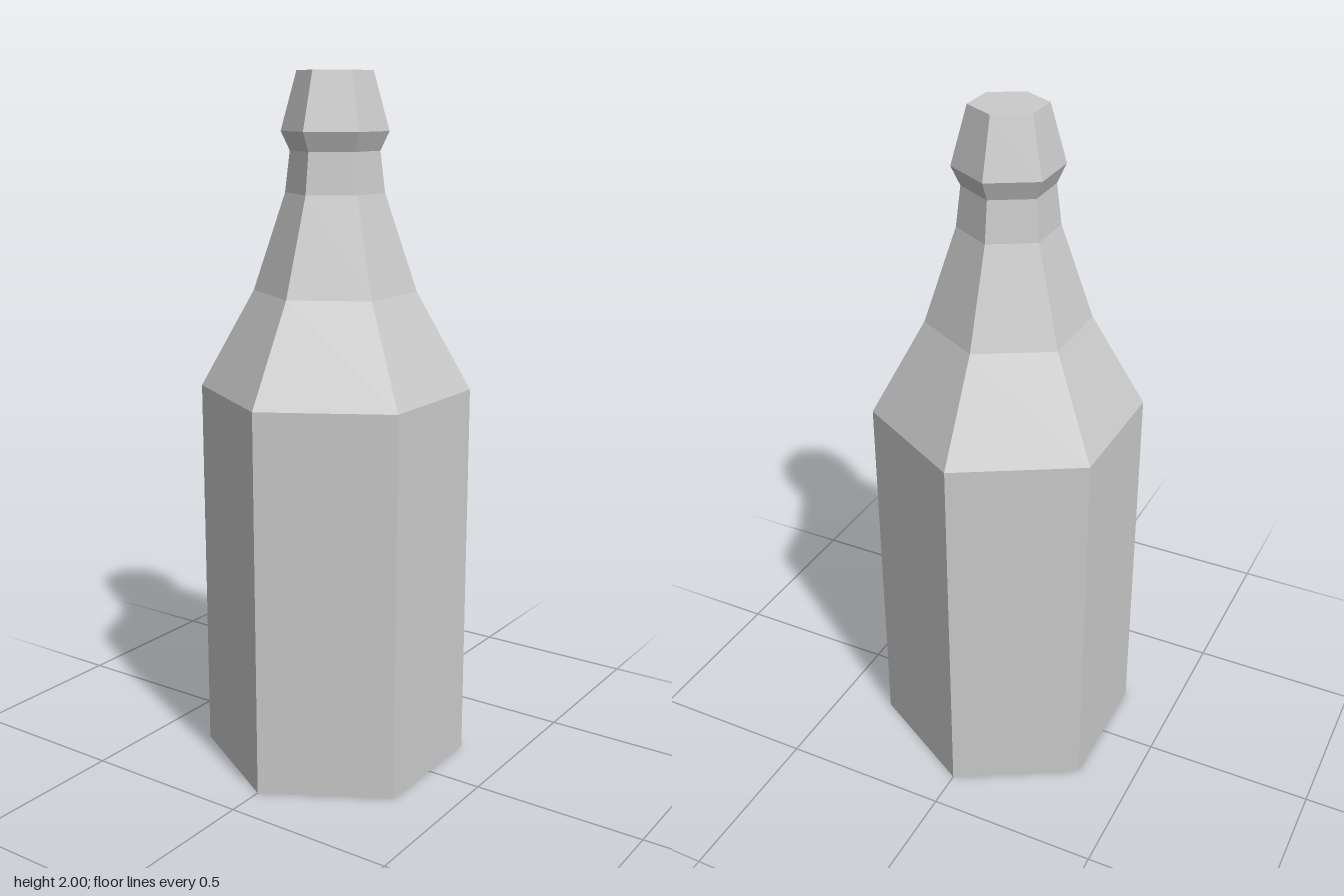
import * as THREE from 'three';

const SIDES = 6;

// Six-sided turned part from [radius, height] pairs, listed bottom to top
function turned(name, profile, material) {
  const points = profile.map(([r, y]) => new THREE.Vector2(r, y));
  const mesh = new THREE.Mesh(new THREE.LatheGeometry(points, SIDES), material);
  mesh.name = name;
  return mesh;
}

export function createModel() {
  const group = new THREE.Group();
  group.name = 'bottle';
  const glass = new THREE.MeshStandardMaterial({ color: 0xcccccc, flatShading: true });

  // Straight body with a shallow recess under the base
  group.add(turned('body', [[0, 0.015], [0.29, 0.015], [0.388, 0], [0.388, 1.115]], glass));

  // Tapering shoulder and neck
  group.add(turned('neck', [[0.388, 1.115], [0.232, 1.395], [0.14, 1.67], [0.126, 1.785]], glass));

  // Flared lip and closed top
  group.add(turned('lip', [[0.126, 1.785], [0.151, 1.838], [0.106, 2], [0, 2]], glass));

  return group;
}
